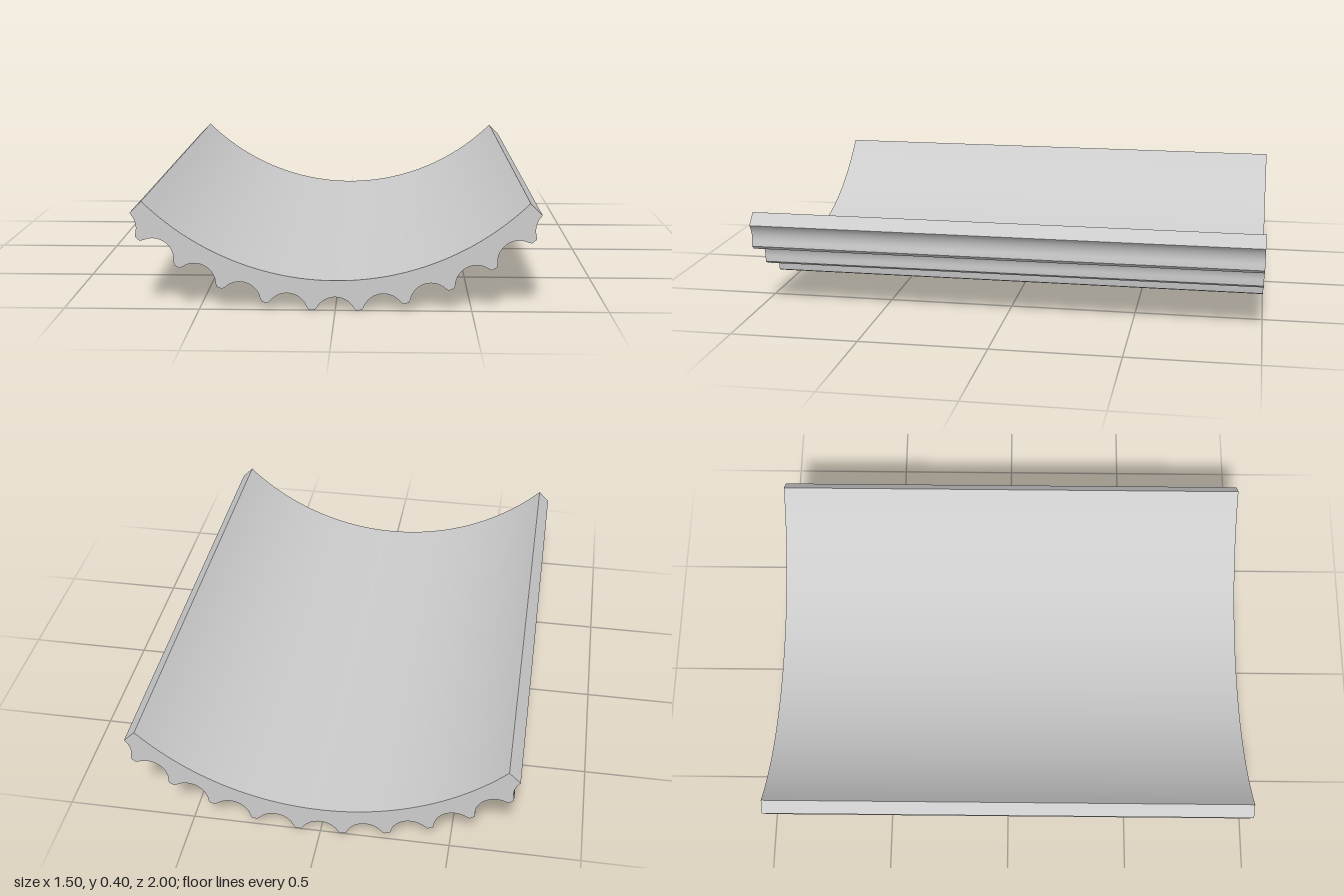
import * as THREE from 'three';
import { toCreasedNormals } from 'three/addons/utils/BufferGeometryUtils.js';

const CENTER_Y = 1.108;       // axis of the curved panel
const INNER_R = 0.996;        // smooth concave face
const VALLEY_R = 1.058;       // deepest line of each flute
const HALF_ANGLE = Math.PI / 4;
const PITCH = Math.PI / 20;   // angle between flutes
const LENGTH = 2;

// One flute in its own frame: x across the flute, y outward from the axis
function flutePoints() {
  const halfWidth = 0.067, depth = 0.039;
  const r = (halfWidth ** 2 + depth ** 2) / (2 * depth);
  const sweep = Math.asin(halfWidth / r);
  const pts = [new THREE.Vector2(-0.0762, VALLEY_R + 0.05)];
  const steps = 16;
  for (let i = 0; i <= steps; i++) {
    const a = -sweep + (2 * sweep * i) / steps;
    pts.push(new THREE.Vector2(r * Math.sin(a), VALLEY_R + r * (1 - Math.cos(a))));
  }
  pts.push(new THREE.Vector2(0.0762, VALLEY_R + 0.05));
  return pts;
}

// Cross-section: smooth arc above, row of flutes below, half a flute at each end
function panelProfile() {
  const pts = [];
  const place = (x, out, angle) => pts.push(new THREE.Vector2(
    x * Math.cos(angle) + out * Math.sin(angle),
    CENTER_Y + x * Math.sin(angle) - out * Math.cos(angle)));
  const flute = flutePoints();
  for (let k = -5; k <= 5; k++) {
    for (const p of flute) {
      if (k === -5 && p.x < -1e-6) continue;
      if (k === 5 && p.x > 1e-6) continue;
      place(p.x, p.y, k * PITCH);
    }
  }
  const steps = 48;
  for (let i = 0; i <= steps; i++) {
    place(0, INNER_R, HALF_ANGLE * (1 - (2 * i) / steps));
  }
  return new THREE.Shape(pts);
}

export function createModel() {
  const group = new THREE.Group();
  group.name = 'flutedCurvedPanel';

  const extruded = new THREE.ExtrudeGeometry(panelProfile(), { depth: LENGTH, bevelEnabled: false });
  extruded.translate(0, 0, -LENGTH / 2);
  const panel = new THREE.Mesh(
    toCreasedNormals(extruded, 0.4),
    new THREE.MeshStandardMaterial({ color: 0xcccccc }));
  panel.name = 'flutedPanel';
  group.add(panel);
  return group;
}
